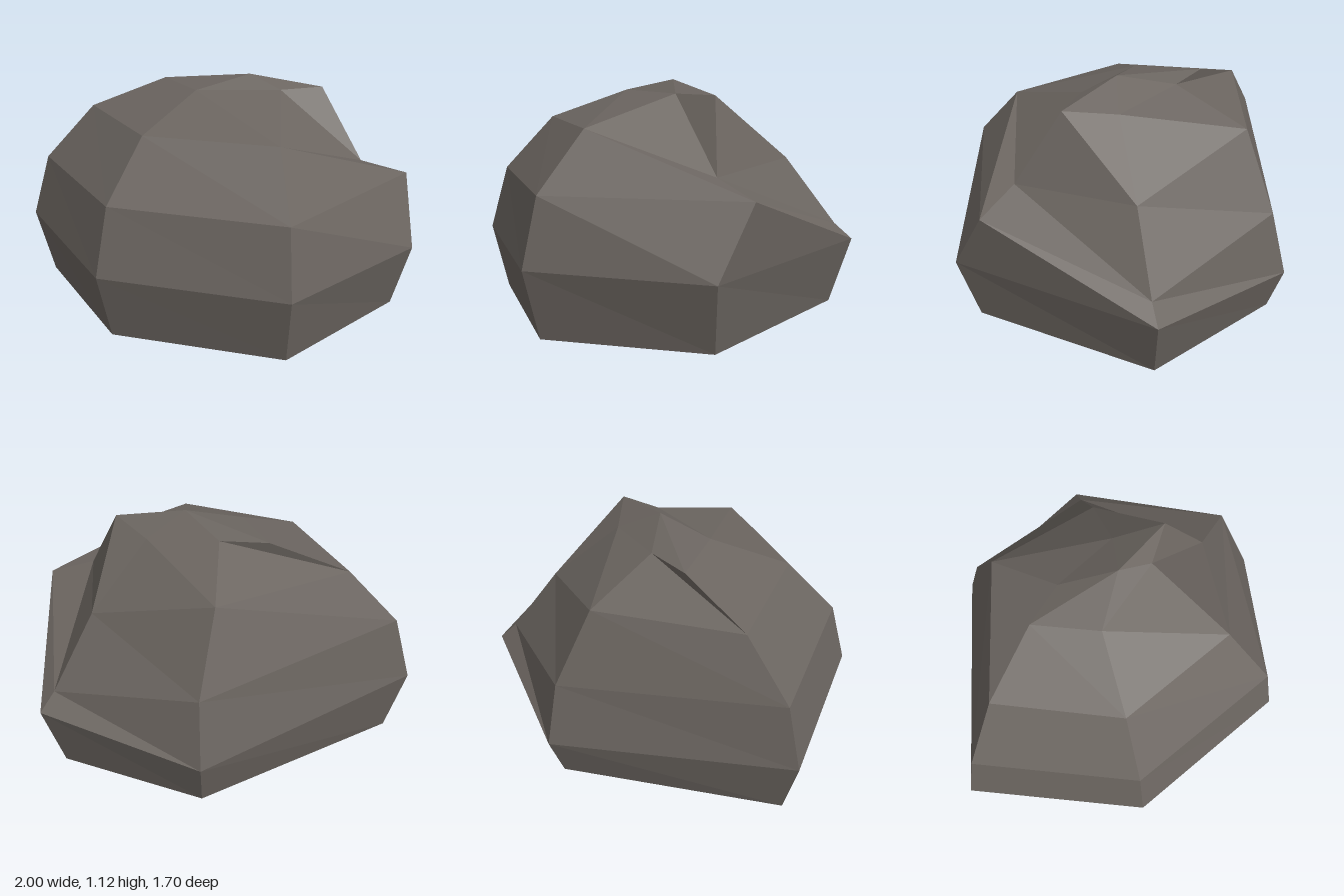
import * as THREE from 'three';

// Horizontal cross-sections, bottom to top: six corners [x, y, z] each,
// counterclockwise seen from above, starting at the -x corner.
const rings = [
  [[-0.91, 0, 0.05], [-0.40, 0, 0.68], [0.43, 0, 0.77], [0.92, 0, 0.16], [0.57, 0, -0.72], [-0.17, 0, -0.78]],
  [[-1, 0.33, 0.05], [-0.44, 0.33, 0.75], [0.45, 0.33, 0.85], [1, 0.33, 0.2], [0.63, 0.33, -0.8], [-0.19, 0.23, -0.85]],
  [[-0.91, 0.65, 0.03], [-0.40, 0.65, 0.67], [0.43, 0.65, 0.77], [0.96, 0.65, 0], [0.59, 0.41, -0.72], [-0.16, 0.55, -0.77]],
  [[-0.67, 0.92, -0.05], [-0.28, 0.92, 0.45], [0.36, 0.92, 0.52], [0.73, 0.72, 0.05], [0.47, 0.74, -0.5], [-0.17, 0.92, -0.57]],
  [[-0.30, 1.06, -0.15], [-0.09, 1.06, 0.11], [0.32, 1.06, 0.04], [0.52, 1.06, -0.06], [0.30, 1.02, -0.2], [-0.07, 1.06, -0.2]],
];
const peak = [0.16, 1.12, -0.03];
const baseCentre = [0, 0, 0];

function rockGeometry() {
  const positions = [];
  const triangle = (a, b, c) => positions.push(...a, ...b, ...c);
  const sides = rings[0].length;
  const top = rings[rings.length - 1];
  for (let i = 0; i < sides; i++) {
    const j = (i + 1) % sides;
    // Facets between neighbouring cross-sections
    for (let k = 0; k < rings.length - 1; k++) {
      const lower = rings[k], upper = rings[k + 1];
      triangle(lower[i], lower[j], upper[i]);
      triangle(lower[j], upper[j], upper[i]);
    }
    // Crown and underside
    triangle(top[i], top[j], peak);
    triangle(rings[0][j], rings[0][i], baseCentre);
  }
  const geometry = new THREE.BufferGeometry();
  geometry.setAttribute('position', new THREE.Float32BufferAttribute(positions, 3));
  geometry.computeVertexNormals();
  return geometry;
}

export function createModel() {
  const stone = new THREE.MeshStandardMaterial({ color: 0x6b6560, flatShading: true });
  stone.name = 'warm grey stone';

  const group = new THREE.Group();
  group.name = 'rock';
  const boulder = new THREE.Mesh(rockGeometry(), stone);
  boulder.name = 'boulder';
  group.add(boulder);
  return group;
}
